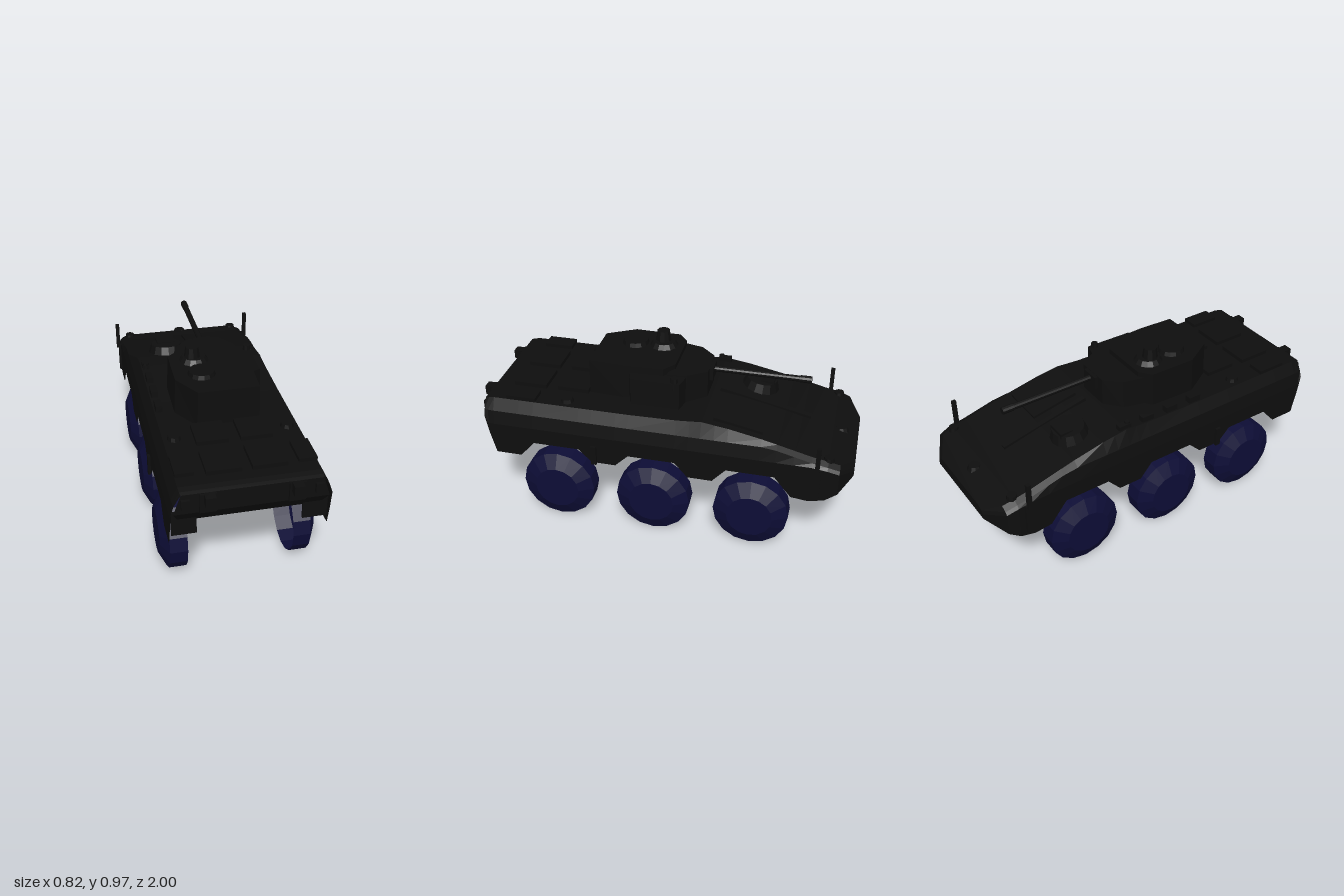
import * as THREE from 'three';

const hullMat = new THREE.MeshStandardMaterial({ color: 0x0e0e0e, side: THREE.DoubleSide, flatShading: true });
hullMat.name = 'black armour';
const wheelMat = new THREE.MeshStandardMaterial({ color: 0x0d0d36, side: THREE.DoubleSide, flatShading: true });
wheelMat.name = 'navy wheel';

export function createModel() {
  const model = new THREE.Group();
  const add = (name, geo, x = 0, y = 0, z = 0, mat = hullMat) => {
    const m = new THREE.Mesh(geo, mat);
    m.name = name;
    m.position.set(x, y, z);
    model.add(m);
    return m;
  };
  const box = (name, w, h, d, x, y, z) => add(name, new THREE.BoxGeometry(w, h, d), x, y, z);
  const drum = (name, r0, r1, h, x, y, z, n = 14) => add(name, new THREE.CylinderGeometry(r0, r1, h, n), x, y, z);

  // plan outline [x, z] raised from y0 to y1, narrowed towards the top
  const prism = (name, outline, y0, y1, topScale = 1) => {
    const s = new THREE.Shape(outline.map(([x, z]) => new THREE.Vector2(x, -z)));
    const g = new THREE.ExtrudeGeometry(s, { depth: y1 - y0, bevelEnabled: false });
    g.rotateX(-Math.PI / 2);
    const p = g.attributes.position;
    for (let i = 0; i < p.count; i++) {
      if (p.getY(i) > 0.001) p.setX(i, p.getX(i) * topScale);
    }
    g.computeVertexNormals();
    return add(name, g, 0, y0, 0);
  };

  // open-bottomed hull shell: [z, wheel arch edge y, roof y, half width]
  const stations = [
    [0.95, 0.6, 0.69, 0.38], [0.93, 0.5, 0.695, 0.383], [0.9, 0.38, 0.7, 0.385], [0.76, 0.38, 0.7, 0.385],
    [0.68, 0.47, 0.7, 0.385], [0.43, 0.47, 0.7, 0.385], [0.36, 0.4, 0.7, 0.385], [0.23, 0.4, 0.7, 0.385],
    [0.16, 0.47, 0.7, 0.385], [-0.09, 0.47, 0.705, 0.385], [-0.16, 0.39, 0.71, 0.385], [-0.22, 0.39, 0.715, 0.385],
    [-0.29, 0.39, 0.705, 0.385], [-0.36, 0.47, 0.695, 0.385], [-0.53, 0.47, 0.66, 0.385], [-0.61, 0.47, 0.64, 0.385],
    [-0.7, 0.36, 0.617, 0.385], [-0.79, 0.35, 0.594, 0.385], [-0.87, 0.37, 0.58, 0.385],
    [-0.93, 0.41, 0.56, 0.375], [-1, 0.45, 0.51, 0.25],
  ];
  const section = ([z, yb, yr, w]) => {
    const belt = Math.max(Math.min(0.56, yr - 0.03), yb);
    const shoulder = Math.max(Math.min(0.635, yr - 0.015), belt);
    const half = [[w, yb], [w, belt], [w - 0.013, shoulder], [w - 0.045, yr]];
    return [...half, ...half.slice().reverse().map(([x, y]) => [-x, y])].map(([x, y]) => [x, y, z]);
  };
  const verts = [];
  const quad = (a, b, c, d) => verts.push(...a, ...b, ...c, ...a, ...c, ...d);
  const rings = stations.map(section);
  for (let i = 0; i < rings.length - 1; i++) {
    for (let j = 0; j < 7; j++) quad(rings[i][j], rings[i + 1][j], rings[i + 1][j + 1], rings[i][j + 1]);
  }
  const nose = rings[rings.length - 1];
  for (let j = 0; j < 3; j++) quad(nose[j], nose[7 - j], nose[6 - j], nose[j + 1]);
  quad([0.25, 0.45, -1], [0.375, 0.44, -0.9], [-0.375, 0.44, -0.9], [-0.25, 0.45, -1]);
  // rear plate, leaning in towards its foot
  quad([-0.335, 0.69, 0.95], [-0.37, 0.58, 0.945], [0.37, 0.58, 0.945], [0.335, 0.69, 0.95]);
  quad([-0.37, 0.58, 0.945], [-0.34, 0.51, 0.9], [0.34, 0.51, 0.9], [0.37, 0.58, 0.945]);
  const shell = new THREE.BufferGeometry();
  shell.setAttribute('position', new THREE.Float32BufferAttribute(verts, 3));
  shell.computeVertexNormals();
  add('hullShell', shell);

  // roof hatches and engine covers
  for (const s of [-1, 1]) {
    box('rearRoofHatch', 0.17, 0.025, 0.18, s * 0.11, 0.71, 0.75);
    box('frontRoofHatch', 0.16, 0.025, 0.17, s * 0.11, 0.71, 0.51);
    box('towBracket', 0.05, 0.05, 0.08, s * 0.205, 0.665, 0.96);
    box('rearStep', 0.08, 0.1, 0.03, s * 0.21, 0.635, 0.945);
    box('rearLamp', 0.04, 0.05, 0.03, s * 0.315, 0.64, 0.95);
    box('rearMudflap', 0.12, 0.13, 0.012, s * 0.315, 0.5, 0.905);
    box('roofRim', 0.09, 0.02, 0.16, s * 0.295, 0.712, 0.75);
    drum('deckCap', 0.03, 0.035, 0.02, s * 0.285, 0.71, 0.51, 10);
    box('mirror', 0.02, 0.15, 0.022, s * 0.4, 0.615, -0.82);
    box('mirrorArm', 0.012, 0.17, 0.03, s * 0.392, 0.47, -0.825);
    box('sideBracket', 0.014, 0.11, 0.03, s * 0.392, 0.45, 0.345);
    drum('headlamp', 0.025, 0.03, 0.03, s * 0.32, 0.58, -0.87, 10);
  }
  for (const z of [-0.22, -0.08, 0.07, 0.22]) box('stowedCanister', 0.035, 0.04, 0.07, -0.315, 0.715, z);
  drum('antennaBase', 0.015, 0.02, 0.06, -0.315, 0.715, -0.2, 8);
  const driver = drum('driverHatch', 0.085, 0.105, 0.06, -0.16, 0.695, -0.45);
  driver.rotation.x = -0.15;
  box('driverPeriscope', 0.1, 0.05, 0.07, -0.16, 0.705, -0.49);
  const engineCover = box('engineCover', 0.24, 0.02, 0.26, 0.18, 0.69, -0.4);
  engineCover.rotation.x = -0.2;
  const ridge = box('deckRidge', 0.03, 0.02, 0.5, 0, 0.665, -0.5);
  ridge.rotation.x = -0.22;
  drum('noseCap', 0.03, 0.04, 0.025, 0, 0.565, -0.91, 10);

  // turret body, stepped down at the front and on one side
  prism('turretBody', [
    [-0.15, 0.42], [0.17, 0.42], [0.18, 0.23], [0.17, 0.02], [0.1, -0.03],
    [-0.17, -0.03], [-0.235, 0.02], [-0.24, 0.27],
  ], 0.69, 0.89, 0.97);
  prism('turretFront', [
    [-0.2, 0], [0.17, 0], [0.16, -0.1], [0.09, -0.2], [-0.09, -0.2], [-0.17, -0.12],
  ], 0.69, 0.862, 0.97);
  prism('turretSidePod', [[0.15, 0.21], [0.235, 0.18], [0.24, -0.08], [0.15, -0.1]], 0.69, 0.85, 0.98);
  drum('podSight', 0.018, 0.022, 0.06, 0.215, 0.845, -0.05, 8);
  drum('commanderHatch', 0.065, 0.075, 0.03, -0.09, 0.897, 0.235);
  drum('cupolaBase', 0.06, 0.08, 0.03, -0.1, 0.9, 0.08);
  drum('cupolaSight', 0.034, 0.045, 0.08, -0.11, 0.93, 0.085, 10);

  // cannon
  box('gunMantlet', 0.1, 0.07, 0.06, 0, 0.825, -0.19);
  const barrel = add('gunBarrel', new THREE.CylinderGeometry(0.015, 0.016, 0.53, 10), 0, 0.835, -0.46);
  barrel.rotation.x = Math.PI / 2;
  const muzzle = add('gunMuzzle', new THREE.CylinderGeometry(0.019, 0.019, 0.06, 10), 0, 0.835, -0.7);
  muzzle.rotation.x = Math.PI / 2;

  // hollow dished wheels, open on the inner side
  const profile = [[0, 0.4], [0.122, 0.4], [0.2, 0.36], [0.2, 0.27]].map(([r, x]) => new THREE.Vector2(r, x));
  const wheelGeo = new THREE.LatheGeometry(profile, 16);
  for (const s of [-1, 1]) {
    for (const z of [0.565, 0.035, -0.495]) {
      const w = add('wheel', wheelGeo, 0, 0.2, z, wheelMat);
      w.rotation.z = -s * Math.PI / 2;
    }
  }
  return model;
}
